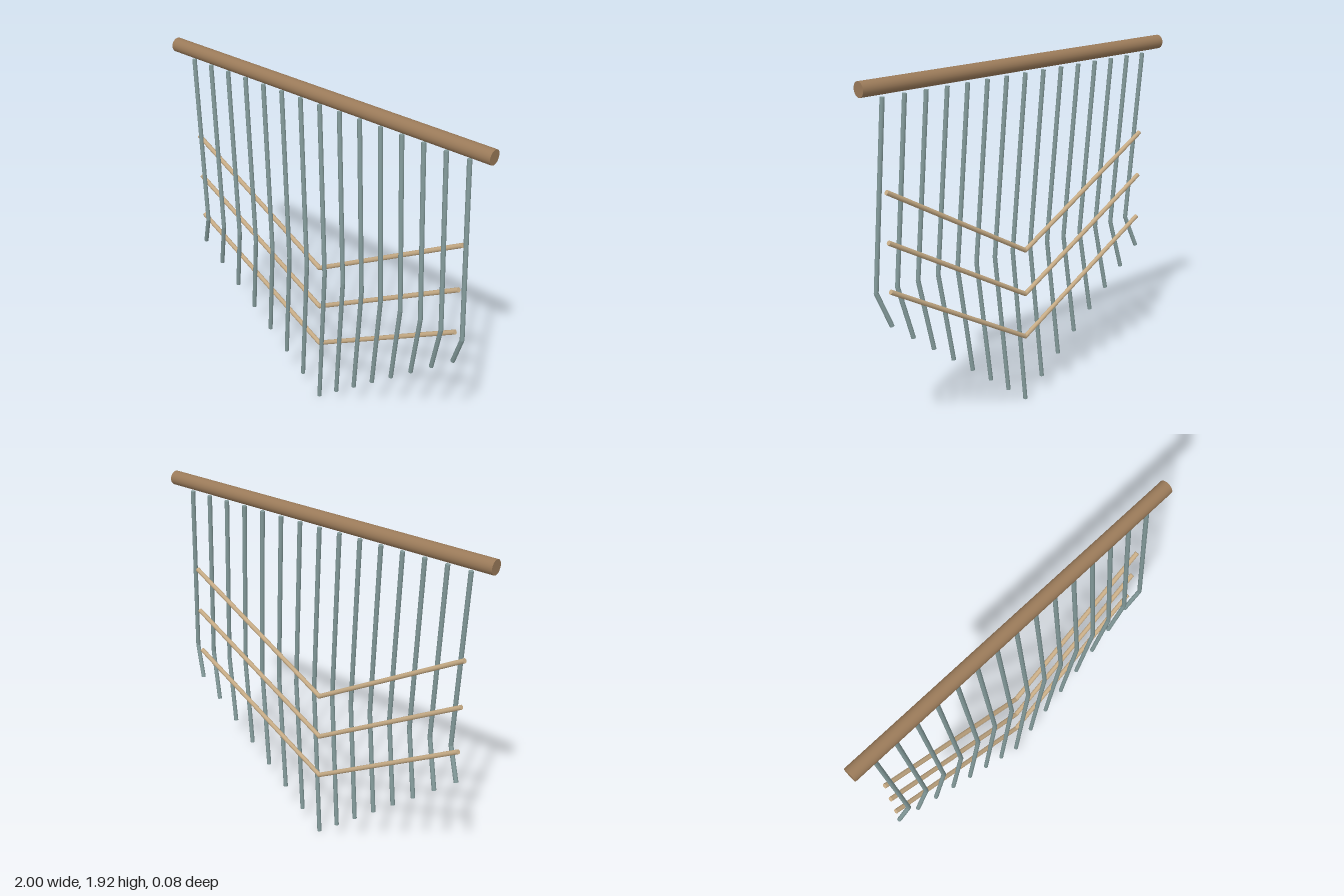
import * as THREE from 'three';

const rodWood = new THREE.MeshStandardMaterial({ color: 0x9a7a59 });
rodWood.name = 'rod brown';
const barWood = new THREE.MeshStandardMaterial({ color: 0xc6ab85 });
barWood.name = 'bar tan';
const strandGrey = new THREE.MeshStandardMaterial({ color: 0x839a9a });
strandGrey.name = 'strand grey green';

const Z = -0.003; // plane of the rod and bars
const UP = new THREE.Vector3(0, 1, 0);

// Round stick between two points
function stick(name, a, b, radius, material, sides = 12) {
  const dir = b.clone().sub(a);
  const mesh = new THREE.Mesh(new THREE.CylinderGeometry(radius, radius, dir.length(), sides), material);
  mesh.position.copy(a).add(b).multiplyScalar(0.5);
  mesh.quaternion.setFromUnitVectors(UP, dir.normalize());
  mesh.name = name;
  return mesh;
}

// Two sticks meeting at a bend, with a round joint
function bentStick(name, a, b, c, radius, material) {
  const group = new THREE.Group();
  group.name = name;
  const joint = new THREE.Mesh(new THREE.SphereGeometry(radius, 12, 8), material);
  joint.position.copy(b);
  joint.name = name + 'Joint';
  group.add(stick(name + 'First', a, b, radius, material), joint, stick(name + 'Second', b, c, radius, material));
  return group;
}

export function createModel() {
  const model = new THREE.Group();
  model.name = 'wallHanging';
  const v = (x, y, z = Z) => new THREE.Vector3(x, y, z);

  // Top rod
  model.add(stick('topRod', v(-1, 1.88), v(1, 1.88), 0.0375, rodWood, 24));

  // Hanging strands, longest in the middle, each bent out to one side
  for (let i = -7; i <= 7; i++) {
    const x = i * 0.125;
    model.add(bentStick('strand', v(x, 1.83), v(x + 0.0625, 0.88, Z + 0.031), v(x, 0.001 + Math.abs(i) * 0.1), 0.012, strandGrey));
  }

  // V-shaped cross bars
  for (let i = 0; i < 3; i++) {
    const y = 0.38 + i * 0.25;
    model.add(bentStick('crossBar', v(-0.875, y + 0.5), v(0, y), v(0.875, y + 0.5), 0.0125, barWood));
  }
  return model;
}
